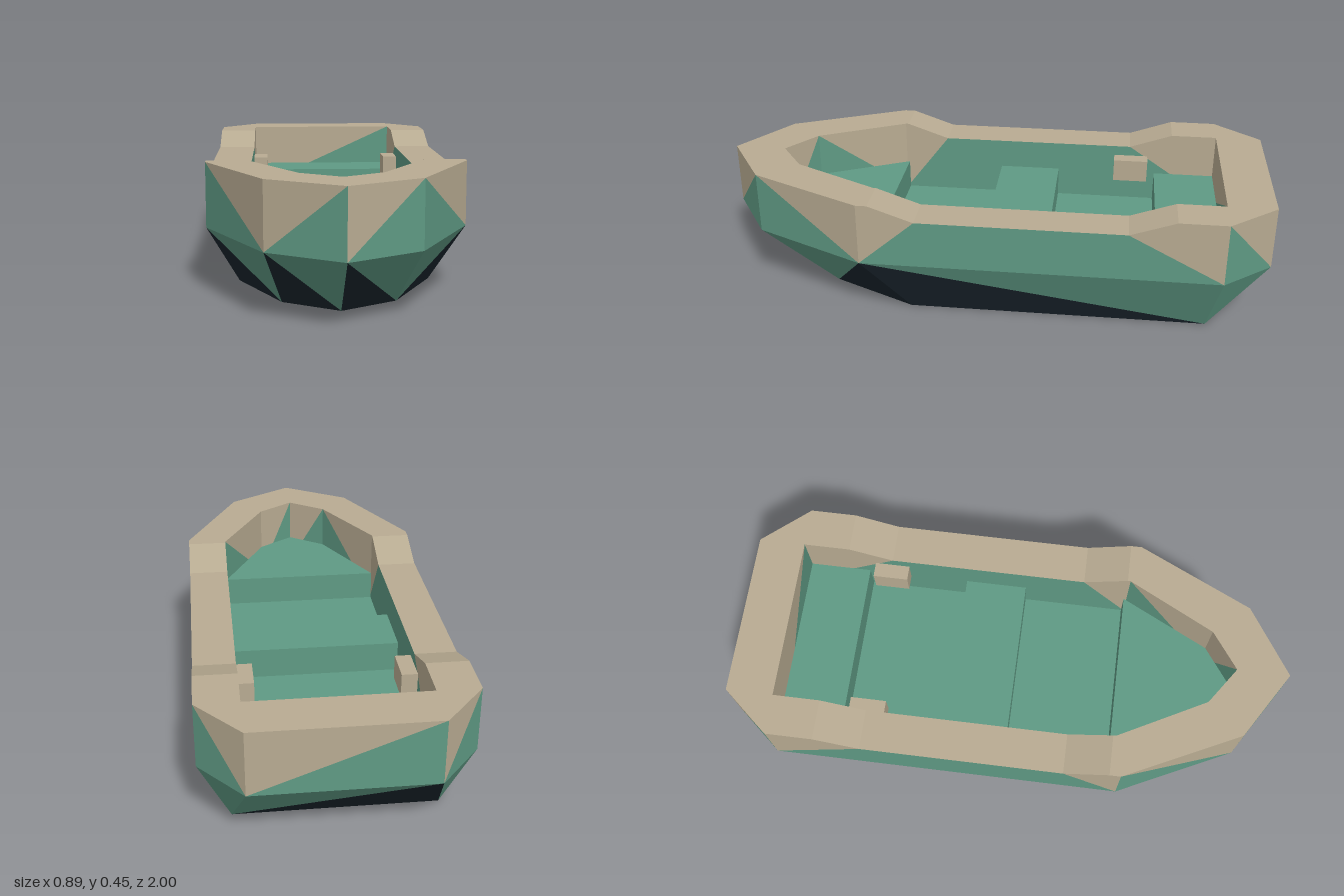
import * as THREE from 'three';

const RAIL = 0.45, SAG = 0.395, CHINE = 0.225, FLOOR = 0.175, SEAT = 0.285;

// Hull corners from bow to stern: outer x,z / inner x,z / keel x,z
const HALF = [
  [0, 1, 0, 0.81, 0, 0.7],
  [0.245, 0.845, 0.135, 0.715, 0.19, 0.58],
  [0.445, 0.43, 0.3, 0.4, 0.34, 0.27],
  [0.445, -0.83, 0.3, -0.83, 0.34, -0.79],
  [0.3, -1, 0.3, -0.83, 0.34, -0.79],
];
const LOOP = [...HALF, ...HALF.slice(1).reverse().map(([a, b, c, d, e, f]) => [-a, b, -c, d, -e, f])];
// Which end of each segment the upper colour's triangle points down to
const TRIM_APEX = 'abxbaaxba';
const SIDE_APEX = 'babaaaabb';
// Dip of the rail along the straight sides: z, y
const DIP = [[0.39, RAIL], [0.23, SAG], [-0.5, SAG], [-0.66, RAIL]];

export function createModel() {
  const model = new THREE.Group();
  const material = (name, color) => {
    const m = new THREE.MeshStandardMaterial({ color, flatShading: true });
    m.name = name;
    return m;
  };
  const tan = material('tan trim', 0xb8ab92);
  const green = material('green paint', 0x5f9a84);
  const dark = material('dark underside', 0x1a252d);

  const add = (name, geometry, mat) => {
    const mesh = new THREE.Mesh(geometry, mat);
    mesh.name = name;
    model.add(mesh);
    return mesh;
  };

  // A faceted surface collected as convex fans
  const surface = () => {
    const pos = [];
    return {
      fan(points, flip) {
        const p = flip ? [...points].reverse() : points;
        for (let i = 1; i < p.length - 1; i++) pos.push(...p[0], ...p[i], ...p[i + 1]);
      },
      finish(name, mat) {
        const g = new THREE.BufferGeometry();
        g.setAttribute('position', new THREE.Float32BufferAttribute(pos, 3));
        g.computeVertexNormals();
        add(name, g, mat);
      },
    };
  };

  // Ring corner at a column pair (0 outer, 2 inner, 4 keel) and height
  const corner = (i, col, y) => {
    const k = LOOP[i % LOOP.length];
    return [k[col], y, k[col + 1]];
  };
  // Rail points of one segment, including the dip on the long sides
  const rail = (i, col) => {
    const a = corner(i, col, RAIL), b = corner(i + 1, col, RAIL);
    if (TRIM_APEX[i] !== 'x') return [a, b];
    const dip = DIP.map(([z, y]) => [a[0], y, z]);
    return [a, ...(a[2] > b[2] ? dip : dip.reverse()), b];
  };
  // Splits a strip into an upper and a lower colour along its diagonal
  const band = (top, am, bm, apex, upper, lower, flip) => {
    if (apex === 'x') {
      upper.fan([am, ...top.slice(0, 3)], flip);
      upper.fan([bm, ...top.slice(3)], flip);
      lower.fan([top[2], top[3], bm, am], flip);
    } else {
      const [a, b] = top;
      upper.fan([a, b, apex === 'a' ? am : bm], flip);
      lower.fan([apex === 'a' ? b : a, bm, am], flip);
    }
  };

  const gunwale = surface(), outerTrim = surface(), hullSides = surface();
  const hullBottom = surface(), innerTrim = surface(), innerWalls = surface(), floor = surface();

  for (let i = 0; i < LOOP.length; i++) {
    const outer = rail(i, 0), inner = rail(i, 2);
    // Flat rail between the outer and inner outlines
    for (let j = 0; j < outer.length - 1; j++) {
      gunwale.fan([outer[j], outer[j + 1], inner[j + 1], inner[j]]);
    }
    // Outside: trim over side, then side over underside
    const am = corner(i, 0, CHINE), bm = corner(i + 1, 0, CHINE);
    band(outer, am, bm, TRIM_APEX[i], outerTrim, hullSides, true);
    band([am, bm], corner(i, 4, 0), corner(i + 1, 4, 0), SIDE_APEX[i], hullSides, hullBottom, true);
    // Inside walls, with the diagonals running the other way
    const apex = { a: 'b', b: 'a', x: 'x' }[TRIM_APEX[i]];
    band(inner, corner(i, 2, FLOOR), corner(i + 1, 2, FLOOR), apex, innerTrim, innerWalls, false);
  }
  hullBottom.fan(LOOP.map((_, i) => corner(i, 4, 0)), true);
  floor.fan(LOOP.map((_, i) => corner(i, 2, FLOOR)));

  gunwale.finish('gunwale', tan);
  outerTrim.finish('outerTrim', tan);
  hullSides.finish('hullSides', green);
  hullBottom.finish('hullBottom', dark);
  innerTrim.finish('innerTrim', tan);
  innerWalls.finish('innerWalls', green);
  floor.finish('floor', green);

  // Benches across the hull
  const bench = (name, z0, z1) => {
    add(name, new THREE.BoxGeometry(0.6, SEAT - FLOOR, z1 - z0), green)
      .position.set(0, (SEAT + FLOOR) / 2, (z0 + z1) / 2);
  };
  bench('sternBench', -0.83, -0.6);
  bench('middleBench', -0.22, 0.01);

  // Pointed seat in the bow
  const bow = new THREE.Shape([[-0.3, 0.39], [0.3, 0.39], [0.135, 0.715], [0, 0.81], [-0.135, 0.715]]
    .map(([x, z]) => new THREE.Vector2(x, -z)));
  const bowSeat = new THREE.ExtrudeGeometry(bow, { depth: SEAT - FLOOR, bevelEnabled: false });
  bowSeat.rotateX(-Math.PI / 2);
  add('bowSeat', bowSeat, green).position.y = FLOOR;

  // Oar blocks on the inner walls
  for (const [side, name] of [[1, 'leftOarBlock'], [-1, 'rightOarBlock']]) {
    add(name, new THREE.BoxGeometry(0.055, 0.085, 0.13), tan).position.set(side * 0.2725, 0.315, -0.505);
  }
  return model;
}
